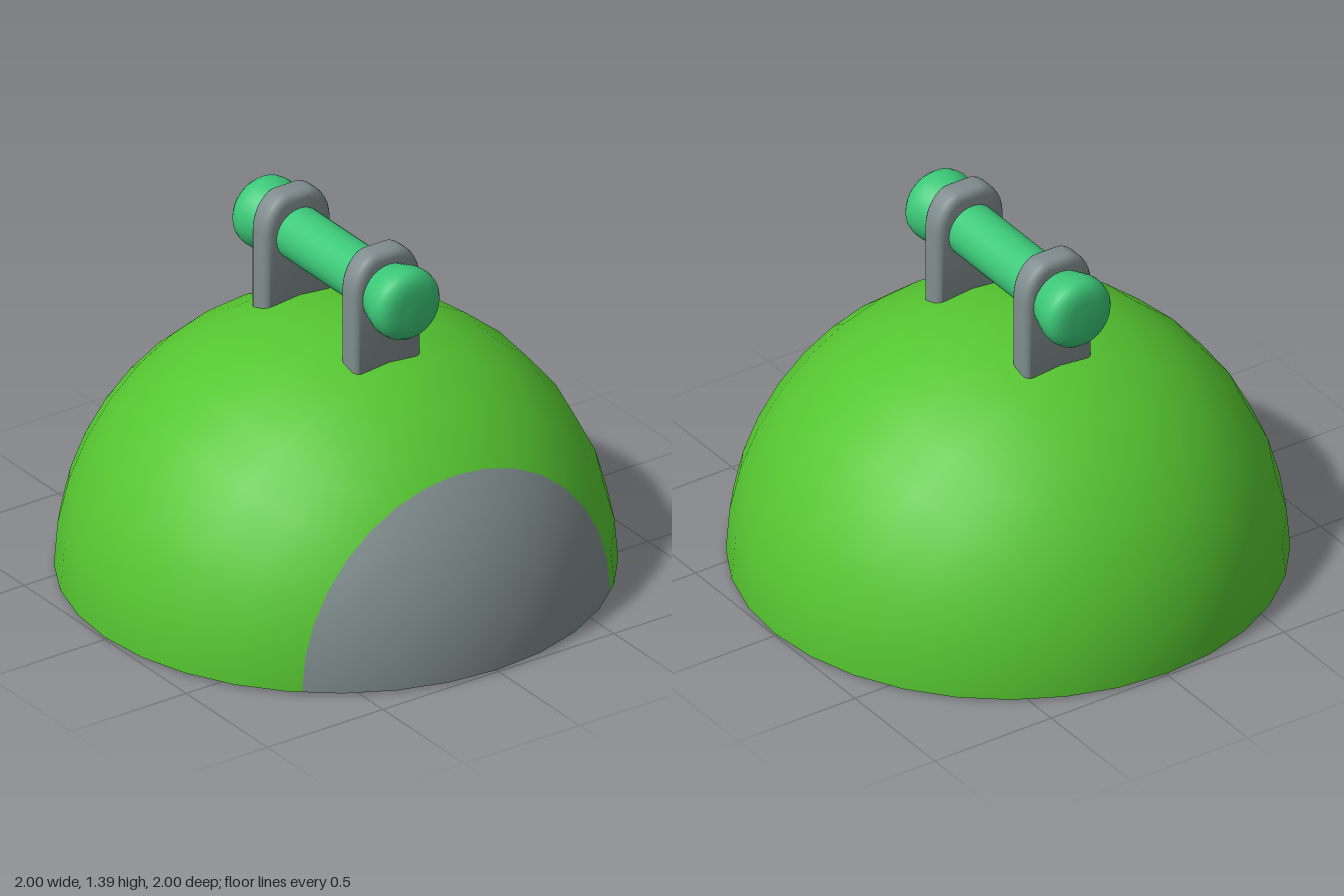
import * as THREE from 'three';
import { toCreasedNormals } from 'three/addons/utils/BufferGeometryUtils.js';

const green = new THREE.MeshStandardMaterial({ color: 0x56c631 });
green.name = 'leaf green';
const grey = new THREE.MeshStandardMaterial({ color: 0x7f8c8d });
grey.name = 'stone grey';
const teal = new THREE.MeshStandardMaterial({ color: 0x3cc878 });
teal.name = 'emerald green';

const INNER = 0.85;   // inner radius of the shell
const LIFT = 0.008;   // the outer rim sits slightly above the inner rim

// Surface through point(u, v), facing along du x dv
function grid(us, vs, point) {
  const pos = [], index = [], n = vs.length;
  us.forEach((u) => vs.forEach((v) => pos.push(...point(u, v))));
  for (let i = 0; i < us.length - 1; i++) {
    for (let j = 0; j < n - 1; j++) {
      const a = i * n + j, b = a + n;
      index.push(a, b, a + 1, b, b + 1, a + 1);
    }
  }
  const geo = new THREE.BufferGeometry();
  geo.setAttribute('position', new THREE.Float32BufferAttribute(pos, 3));
  geo.setIndex(index);
  geo.computeVertexNormals();
  return geo;
}

// Replace normals with exact spherical ones
function roundNormals(geo, sign, centreY) {
  const p = geo.attributes.position, v = new THREE.Vector3();
  for (let i = 0; i < p.count; i++) {
    v.fromBufferAttribute(p, i);
    v.y -= centreY;
    v.normalize().multiplyScalar(sign);
    geo.attributes.normal.setXYZ(i, v.x, v.y, v.z);
  }
  return geo;
}

function add(parent, name, geo, mat) {
  const mesh = new THREE.Mesh(geo, mat);
  mesh.name = name;
  parent.add(mesh);
  return mesh;
}

// Zone of the hollow dome, swept half a turn about the x axis; profile holds [x, radius]
function shellZone(name, profile, mat) {
  const zone = new THREE.Group();
  zone.name = name;
  const turns = Array.from({ length: 17 }, (_, i) => (i * Math.PI) / 16);
  const at = (scale, lift, [x, r], a) =>
    [x * scale, r * Math.sin(a) * scale + lift, r * Math.cos(a) * scale];

  const outer = grid(turns, profile, (a, p) => at(1, LIFT, p, a));
  add(zone, name + 'Outside', roundNormals(outer, 1, LIFT), mat);
  const inner = grid(profile, turns, (p, a) => at(INNER, 0, p, a));
  add(zone, name + 'Inside', roundNormals(inner, -1, 0), mat);

  // rim along the front and back halves
  const rimPoint = (side) => (s, [x, r]) => [x * s, s === 1 ? LIFT : 0, side * r * s];
  add(zone, name + 'FrontRim', grid([INNER, 1], profile, rimPoint(1)), mat);
  add(zone, name + 'BackRim', grid([1, INNER], profile, rimPoint(-1)), mat);
  return zone;
}

function createModel() {
  const model = new THREE.Group();
  model.name = 'domeWithHandle';

  // Hollow dome with a grey cap on its left side
  const arc = Array.from({ length: 17 }, (_, i) =>
    [Math.cos((i * Math.PI) / 16), Math.sin((i * Math.PI) / 16)]);
  const cut = [0.74, 0.667];
  model.add(shellZone('sidePatch', [...arc.slice(0, 4), cut], grey));
  model.add(shellZone('dome', [cut, ...arc.slice(4)], green));

  // Rounded brackets holding the handle
  const bevel = 0.03, w = 0.145 - bevel, top = 1.39 - bevel, r = 0.1;
  const plate = new THREE.Shape();
  plate.moveTo(-w, 0.92);
  plate.lineTo(w, 0.92);
  plate.lineTo(w, top - r - 0.02);
  plate.bezierCurveTo(w, top - 0.04, w - 0.05, top, w - r + 0.03, top);
  plate.lineTo(-w + r - 0.03, top);
  plate.bezierCurveTo(-w + 0.05, top, -w, top - 0.04, -w, top - r - 0.02);
  plate.closePath();
  const depth = 0.104 - 2 * bevel;
  const bracketGeo = toCreasedNormals(new THREE.ExtrudeGeometry(plate, {
    depth, bevelEnabled: true, bevelSize: bevel, bevelThickness: bevel,
    bevelSegments: 4, curveSegments: 8,
  }).translate(0, 0, -depth / 2).rotateY(Math.PI / 2), 0.7);
  for (const side of [1, -1]) {
    const name = side > 0 ? 'leftBracket' : 'rightBracket';
    add(model, name, bracketGeo, grey).position.x = side * 0.276;
  }

  // Handle bar with flared, rounded knobs
  const half = [[0.1, 0.28], [0.112, 0.32], [0.128, 0.37], [0.136, 0.4], [0.137, 0.425],
    [0.132, 0.45], [0.119, 0.468], [0.095, 0.48], [0.06, 0.484], [0, 0.485]];
  const profile = [...half.map(([a, b]) => [a, -b]).reverse(), ...half]
    .map(([a, b]) => new THREE.Vector2(a, b));
  const bar = new THREE.LatheGeometry(profile, 32).rotateZ(-Math.PI / 2);
  add(model, 'handleBar', bar, teal).position.y = 1.227;

  return model;
}

export { createModel };
